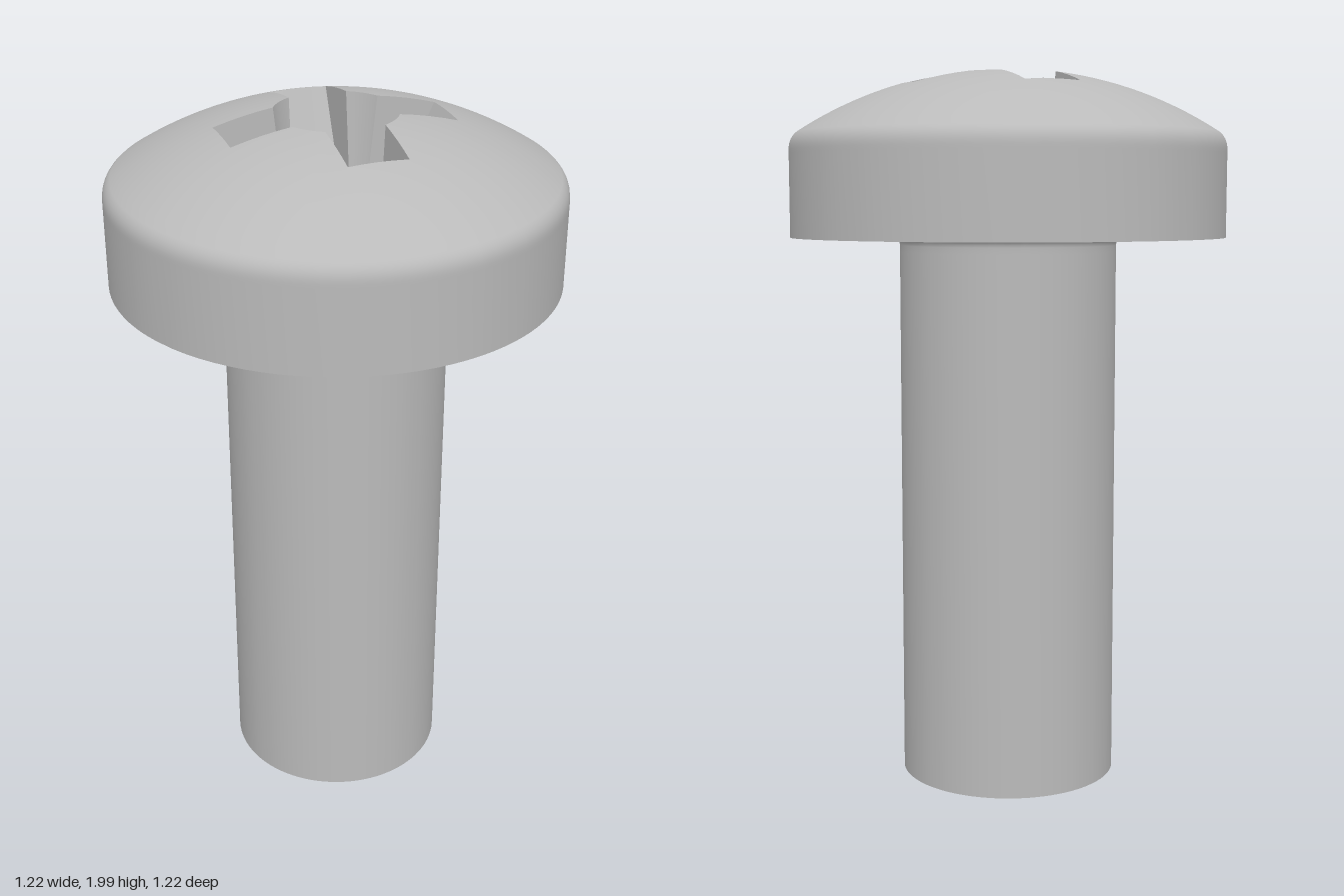
import * as THREE from 'three';
import { toCreasedNormals } from 'three/addons/utils/BufferGeometryUtils.js';

const HEAD_R = 0.61, SHAFT_R = 0.305, HEAD_BOTTOM = 1.54;
const DOME_TOP = 2.003, DOME_R = 1.08, DOME_EDGE = 0.588;
const ARM = 0.08; // half width of a recess arm

const domeY = (r) => DOME_TOP - DOME_R + Math.sqrt(DOME_R * DOME_R - r * r);
const floorY = (r) => 1.58 + r * 0.25;

// Cross outline with rounded inner notches, always the same point count
function crossOutline(end, notch, heightAt) {
  const inner = Math.sqrt(notch * notch - ARM * ARM);
  const a0 = Math.atan2(ARM, inner), a1 = Math.PI / 2 - a0;
  const quarter = [];
  for (let i = 0; i < 8; i++) quarter.push([end, ARM * (i / 4 - 1)]);
  for (let i = 0; i < 4; i++) quarter.push([end + (inner - end) * i / 4, ARM]);
  for (let i = 0; i < 8; i++) {
    const a = a0 + (a1 - a0) * i / 8;
    quarter.push([notch * Math.cos(a), notch * Math.sin(a)]);
  }
  for (let i = 0; i < 4; i++) quarter.push([ARM, inner + (end - inner) * i / 4]);
  const ring = [];
  for (let q = 0; q < 4; q++) {
    for (let [x, z] of quarter) {
      for (let k = 0; k < q; k++) [x, z] = [-z, x];
      ring.push(new THREE.Vector3(x, heightAt(Math.hypot(x, z)), z));
    }
  }
  return ring;
}

// Closed rings joined into one smooth surface
function loft(rings) {
  const n = rings[0].length, pos = [], index = [];
  rings.forEach((ring) => ring.forEach((p) => pos.push(p.x, p.y, p.z)));
  for (let j = 0; j < rings.length - 1; j++) {
    for (let i = 0; i < n; i++) {
      const a = j * n + i, b = j * n + (i + 1) % n;
      index.push(a, b, a + n, b, b + n, a + n);
    }
  }
  const geo = new THREE.BufferGeometry();
  geo.setAttribute('position', new THREE.Float32BufferAttribute(pos, 3));
  geo.setIndex(index);
  geo.computeVertexNormals();
  return geo;
}

export function createModel() {
  const group = new THREE.Group();
  const steel = new THREE.MeshStandardMaterial({ color: 0xbababa });
  steel.name = 'steel';
  const add = (name, geo) => {
    const mesh = new THREE.Mesh(geo, steel);
    mesh.name = name;
    group.add(mesh);
  };

  const mouth = crossOutline(0.307, 0.165, domeY);
  const base = crossOutline(0.15, 0.13, floorY);
  const circle = (r, y) => mouth.map((p) => {
    const s = r / Math.hypot(p.x, p.z);
    return new THREE.Vector3(p.x * s, y, p.z * s);
  });

  // Recess: shallow conical floor and tapered walls
  add('recessFloor', loft([circle(0, floorY(0)), base]));
  add('recessWalls', toCreasedNormals(loft([base, mouth]), 0.4));

  // Head: dome from the recess mouth, rounded rim, straight side
  const head = [];
  for (let j = 0; j <= 14; j++) {
    head.push(mouth.map((p) => {
      const r0 = Math.hypot(p.x, p.z), r = r0 + (DOME_EDGE - r0) * j / 14;
      return new THREE.Vector3(p.x * r / r0, domeY(r), p.z * r / r0);
    }));
  }
  const rim = new THREE.QuadraticBezierCurve(
    new THREE.Vector2(DOME_EDGE, domeY(DOME_EDGE)),
    new THREE.Vector2(HEAD_R, 1.812),
    new THREE.Vector2(HEAD_R, 1.78));
  rim.getPoints(6).slice(1).forEach((p) => head.push(circle(p.x, p.y)));
  head.push(circle(HEAD_R, 1.77), circle(HEAD_R, HEAD_BOTTOM));
  add('head', loft(head));
  add('headUnderside', loft([circle(HEAD_R, HEAD_BOTTOM), circle(SHAFT_R + 0.022, HEAD_BOTTOM)]));

  // Shank with a small fillet under the head
  const shank = [];
  for (let i = 0; i <= 5; i++) {
    const a = (i / 5) * Math.PI / 2;
    shank.push(circle(SHAFT_R + 0.022 * (1 - Math.sin(a)), HEAD_BOTTOM - 0.022 * (1 - Math.cos(a))));
  }
  shank.push(circle(SHAFT_R, 1.5), circle(SHAFT_R, 0));
  add('shank', loft(shank));
  add('shankEnd', loft([circle(SHAFT_R, 0), circle(0, 0)]));

  return group;
}
